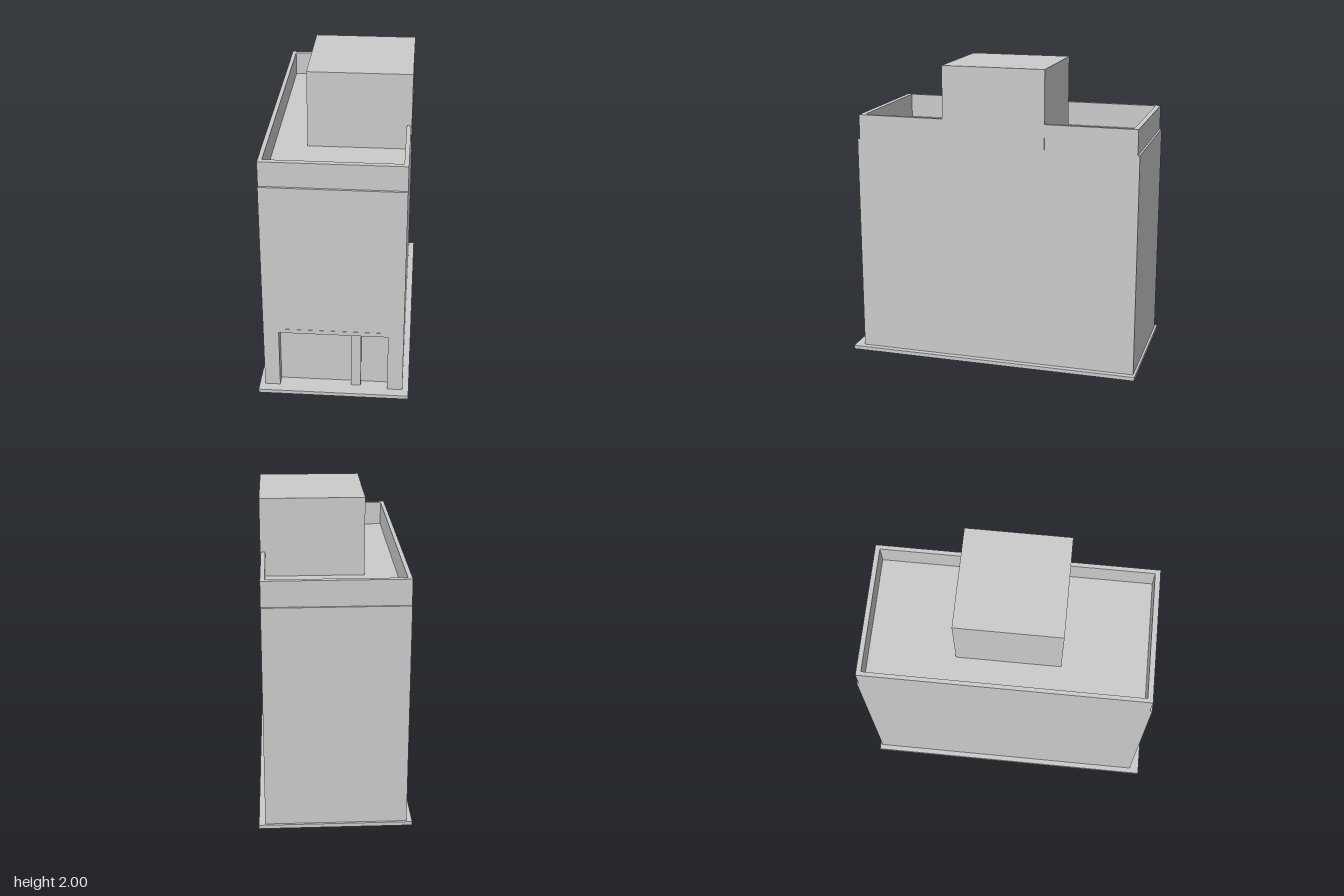
import * as THREE from 'three';

const material = new THREE.MeshStandardMaterial({ color: 0xcccccc, flatShading: true });

// Extrude a plan outline of [x, z] points upward from y0 to y1
const outline = (points, Type = THREE.Shape) => new Type(points.map(([x, z]) => new THREE.Vector2(x, -z)));
const rect = (x0, x1, z0, z1) => [[x0, z1], [x1, z1], [x1, z0], [x0, z0]];

export function createModel() {
  const model = new THREE.Group();
  model.name = 'building';

  function addPlan(name, points, y0, y1, hole) {
    const shape = outline(points);
    if (hole) shape.holes.push(outline(hole, THREE.Path));
    const geometry = new THREE.ExtrudeGeometry(shape, { depth: y1 - y0, bevelEnabled: false });
    geometry.rotateX(-Math.PI / 2).translate(0, y0, 0);
    const mesh = new THREE.Mesh(geometry, material);
    mesh.name = name;
    model.add(mesh);
  }

  function addBox(name, x0, x1, y0, y1, z0, z1) {
    const mesh = new THREE.Mesh(new THREE.BoxGeometry(x1 - x0, y1 - y0, z1 - z0), material);
    mesh.position.set((x0 + x1) / 2, (y0 + y1) / 2, (z0 + z1) / 2);
    mesh.name = name;
    model.add(mesh);
  }

  // Ground slab
  addBox('baseSlab', -0.49, 0.49, 0, 0.025, -0.985, 0.985);

  // Ground floor with a recessed entrance in the front
  const front = 0.92, back = -0.97, left = -0.455, right = 0.45, recess = 0.845;
  addPlan('groundFloor', [
    [left, front], [-0.355, front], [-0.355, recess], [0.35, recess],
    [0.35, front], [right, front], [right, back], [left, back],
  ], 0.025, 0.437);

  // Entrance post and the thin strip above the opening
  addBox('entrancePost', 0.11, 0.175, 0.025, 0.437, recess, 0.893);
  addBox('lintelStrip', -0.355, 0.35, 0.455, 0.467, front - 0.01, front + 0.002);

  // Upper floors
  addBox('upperFloors', left, right, 0.437, 1.488, back, front);

  // Roof parapet, slightly set back at front and rear
  addPlan('parapet', rect(left, right, -0.957, 0.905), 1.488, 1.652,
    rect(-0.428, 0.422, -0.925, 0.87));

  // Rooftop stair house
  addBox('stairHouse', -0.215, 0.455, 1.488, 2, -0.36, 0.32);

  return model;
}
